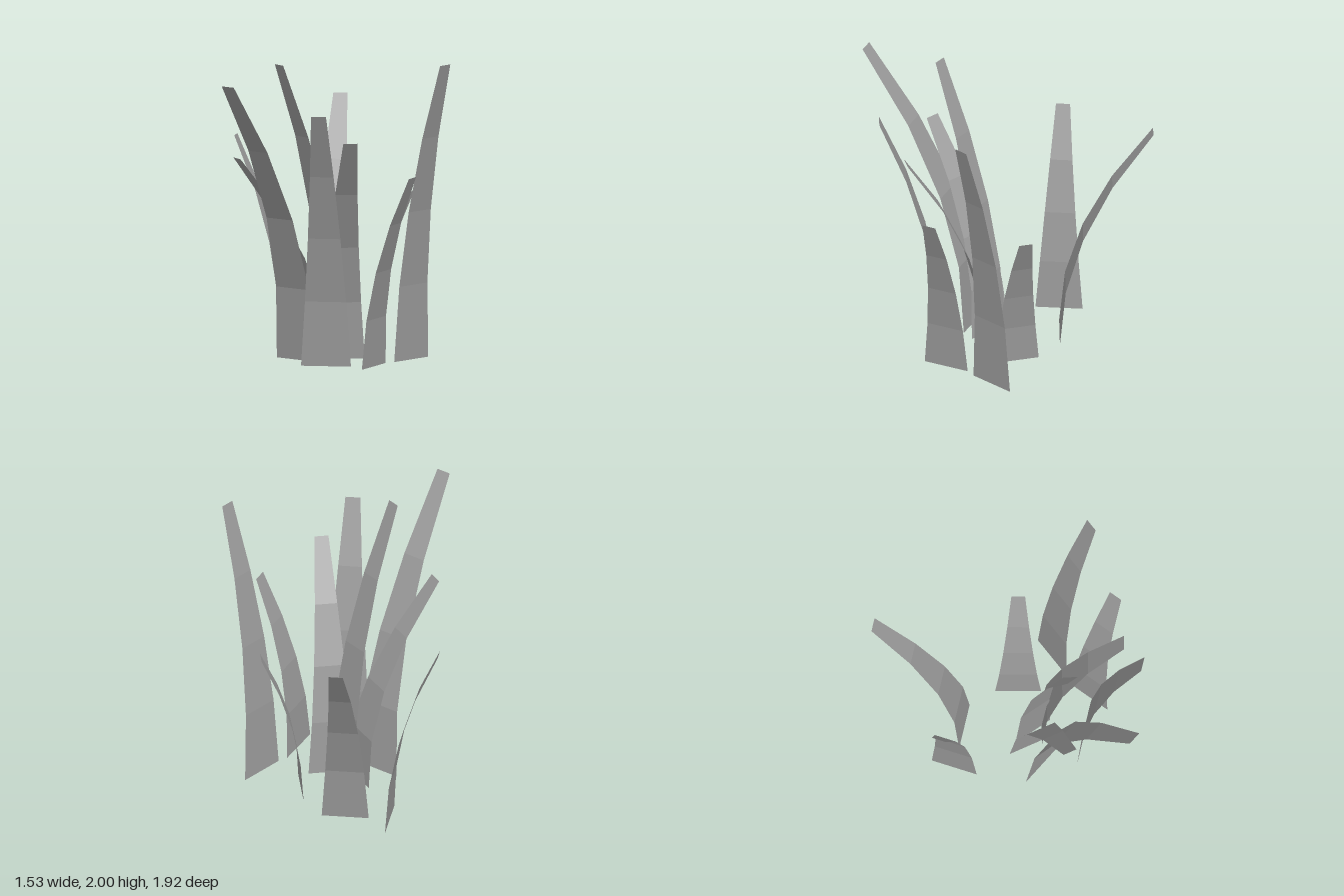
import * as THREE from 'three';

// Base corner a (x, z), base corner b (x, z), height, outward reach of the tip
const BLADES = [
  [0.01, -0.355, -0.30, -0.34, 1.58, 0.615],
  [-0.43, -0.49, -0.445, -0.18, 1.39, 0.33],
  [0.23, 0.07, 0.15, -0.22, 1.08, 0.265],
  [0.38, 0.20, 0.565, -0.045, 2.0, 0.325],
  [0.22, 0.525, 0.33, 0.24, 1.28, 0.295],
  [-0.20, 0.435, 0.13, 0.42, 1.73, 0.405],
  [-0.135, 0.177, 0.165, 0.09, 1.525, 0.54],
  [-0.41, 0.145, -0.12, 0.28, 1.93, 0.80],
  [-0.25, -0.01, -0.05, 0.225, 1.38, 0.61],
  [-0.165, 0.005, 0.05, 0.18, 2.0, 0.455],
];
const TIP_TAPER = 0.3;

// Flat strip that narrows evenly and bends outward with the square of its height
function bladeGeometry(width, height, reach) {
  const geo = new THREE.PlaneGeometry(width, height, 1, 4);
  geo.translate(0, height / 2, 0);
  const pos = geo.attributes.position;
  for (let i = 0; i < pos.count; i++) {
    const t = pos.getY(i) / height;
    pos.setX(i, pos.getX(i) * (1 - (1 - TIP_TAPER) * t));
    pos.setZ(i, reach * t * t);
  }
  const flat = geo.toNonIndexed();
  flat.computeVertexNormals();
  return flat;
}

export function createModel() {
  const group = new THREE.Group();
  group.name = 'grassTuft';
  const grey = new THREE.MeshStandardMaterial({
    color: 0x999999, side: THREE.DoubleSide, flatShading: true,
  });
  grey.name = 'grey';

  BLADES.forEach(([ax, az, bx, bz, height, reach], i) => {
    const dx = bx - ax, dz = bz - az;
    const blade = new THREE.Mesh(bladeGeometry(Math.hypot(dx, dz), height, reach), grey);
    blade.name = `grassBlade${i + 1}`;
    blade.position.set((ax + bx) / 2, 0, (az + bz) / 2);
    blade.rotation.y = Math.atan2(-dz, dx);
    group.add(blade);
  });
  return group;
}
